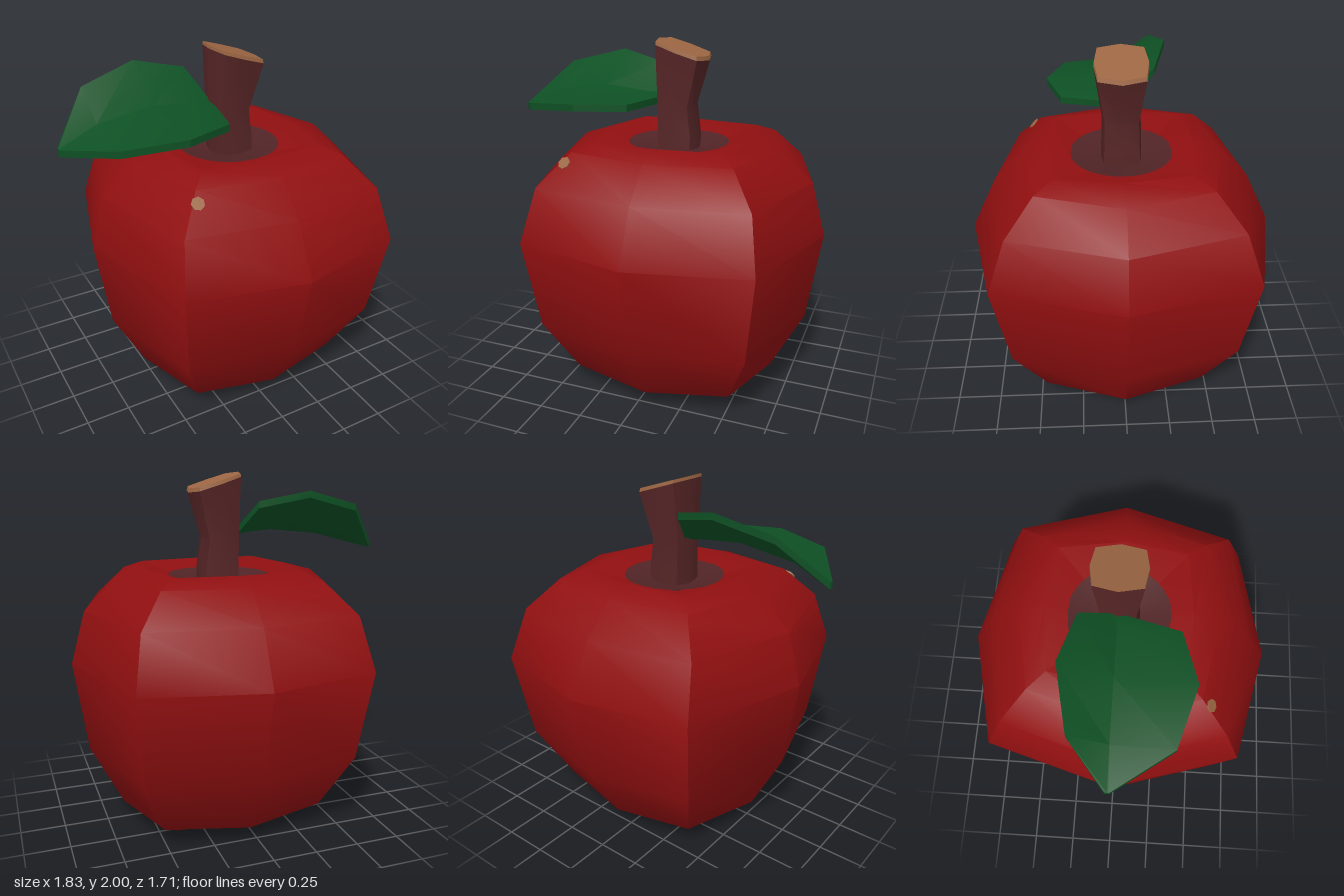
import * as THREE from 'three';
import { toCreasedNormals } from 'three/addons/utils/BufferGeometryUtils.js';

const mat = (name, color, extra = {}) => {
  const m = new THREE.MeshStandardMaterial({ color, ...extra });
  m.name = name;
  return m;
};

const centroid = (ring) => [0, 1, 2].map((k) => ring.reduce((s, p) => s + p[k], 0) / ring.length);

// Skins a list of closed rings and closes both ends with a fan to a centre point.
function loft(rings, crease, start = centroid(rings[0]), end = centroid(rings[rings.length - 1])) {
  const n = rings[0].length, last = (rings.length - 1) * n;
  const pts = [...rings.flat(), start, end];
  const index = [];
  for (let j = 0; j < n; j++) {
    const k = (j + 1) % n;
    for (let i = 0; i < last; i += n) {
      const a = i + j, b = i + k, c = b + n, d = a + n;
      index.push(a, d, c, a, c, b);
    }
    index.push(last + n, j, k, last + n + 1, last + k, last + j);
  }
  const geo = new THREE.BufferGeometry();
  geo.setAttribute('position', new THREE.Float32BufferAttribute(pts.flat(), 3));
  geo.setIndex(index);
  return toCreasedNormals(geo, crease);
}

// Squarish eight-point ring: four side middles and four corners.
function octRing(cx, y, midX, midZ, cornerX, cornerZ, cornerY = y) {
  const ring = [];
  for (let i = 0; i < 8; i++) {
    const a = (i * Math.PI) / 4, sx = Math.round(Math.cos(a)), sz = Math.round(Math.sin(a));
    ring.push(i % 2
      ? [cx + sx * cornerX, cornerY, sz * cornerZ]
      : [cx + sx * midX, y, sz * midZ]);
  }
  return ring;
}

export function createModel() {
  const group = new THREE.Group();
  const red = mat('apple red', 0x900f10);
  const bark = mat('stem brown', 0x562526);
  const tan = mat('cut wood tan', 0x9c6643);
  const green = mat('leaf green', 0x0e5024);
  const add = (name, geo, material) => {
    const mesh = new THREE.Mesh(geo, material);
    mesh.name = name;
    group.add(mesh);
    return mesh;
  };

  // Fruit: faceted rings from the bottom up, with a dimple at the top
  const bodyRings = [
    [0.05, 0.43, 0.40, 0.36, 0.36],
    [0.10, 0.59, 0.55, 0.46, 0.46, 0.125],
    [0.46, 0.775, 0.75, 0.59, 0.63],
    [0.97, 0.85, 0.855, 0.645, 0.71],
    [1.26, 0.77, 0.715, 0.59, 0.61],
    [1.43, 0.59, 0.545, 0.45, 0.46],
    [1.475, 0.42, 0.40, 0.36, 0.36],
  ].map((r) => octRing(0.06, ...r));
  add('fruit', loft(bodyRings, 0.66, [0.06, 0, 0], [0.06, 1.33, 0]), red);

  // Dark dished patch around the stem
  const dish = new THREE.ConeGeometry(0.285, 0.055, 32, 1, true);
  dish.rotateX(Math.PI);
  const patch = add('stemHollow', dish, mat('hollow brown', 0x512426, { side: THREE.DoubleSide }));
  patch.position.set(0.057, 1.405, 0);

  // Stem: bent, flaring towards a slanted cut
  const stemRing = (cx, y, hx, hz, slope = 0) =>
    octRing(cx, y, hx, hz, hx * 0.8, hz * 0.87).map(([x, py, z]) => [x, py - slope * (x - cx), z]);
  const cutBase = stemRing(0.082, 1.935, 0.147, 0.145, 0.32);
  const cutTop = stemRing(0.08, 1.955, 0.143, 0.142, 0.31);
  add('stem', loft([
    stemRing(0.06, 1.35, 0.118, 0.112),
    stemRing(0.06, 1.475, 0.118, 0.11),
    stemRing(0.048, 1.64, 0.108, 0.105),
    cutBase,
  ], 0.5), bark);
  add('stemCut', loft([cutBase, cutTop], 0.5), tan);

  // Leaf: folded along its middle; station = x, then [y, z] of front edge, rib and back edge
  const leafRings = [
    [-0.92, [1.585, 0.012], [1.587, 0], [1.589, -0.012]],
    [-0.71, [1.65, 0.32], [1.68, 0], [1.82, -0.20]],
    [-0.39, [1.68, 0.415], [1.725, 0], [1.90, -0.265]],
    [-0.12, [1.68, 0.325], [1.70, 0], [1.845, -0.19]],
    [-0.05, [1.68, 0.04], [1.685, 0], [1.70, -0.04]],
  ].map(([x, ...top]) => [
    ...top.map(([y, z]) => [x, y, z]),
    ...top.slice().reverse().map(([y, z]) => [x, y - 0.038, z]),
  ]);
  add('leaf', loft(leafRings, 0.5), green);

  // Small blemish on the upper front corner
  const spot = add('blemish', new THREE.CylinderGeometry(0.036, 0.036, 0.009, 7), tan);
  const normal = new THREE.Vector3(-0.19, 0.88, 1).normalize();
  spot.quaternion.setFromUnitVectors(new THREE.Vector3(0, 1, 0), normal);
  spot.position.set(-0.405, 1.38, 0.508).addScaledVector(normal, 0.004);

  return group;
}
